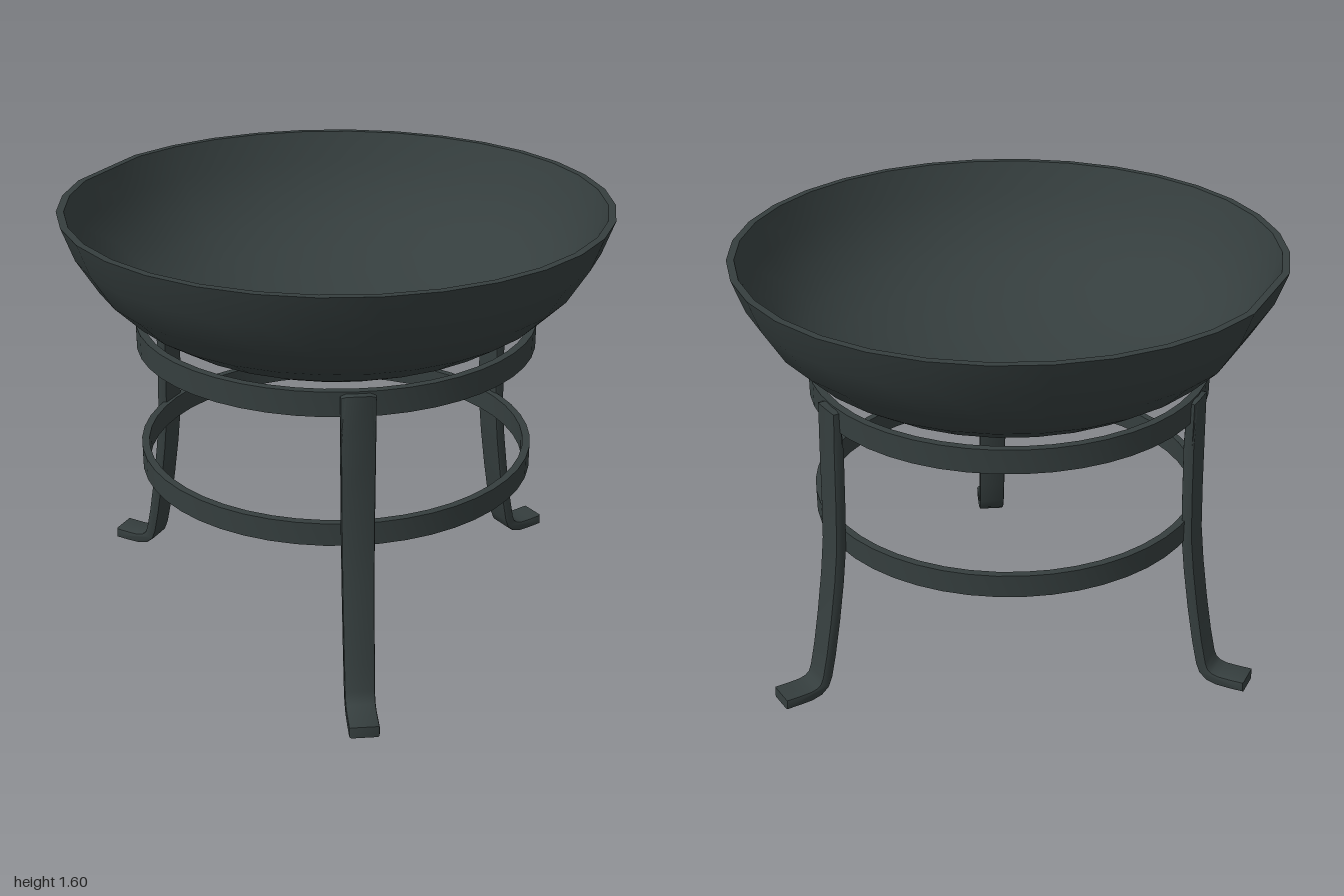
import * as THREE from 'three';
import { toCreasedNormals } from 'three/addons/utils/BufferGeometryUtils.js';

const V = (x, y) => new THREE.Vector2(x, y);

export function createModel() {
  const model = new THREE.Group();
  model.name = 'firePit';
  const iron = new THREE.MeshStandardMaterial({ color: 0x353e3e });
  iron.name = 'darkIron';

  const add = (name, geometry, x = 0) => {
    const mesh = new THREE.Mesh(toCreasedNormals(geometry, 0.7), iron);
    mesh.name = name;
    mesh.position.x = x;
    model.add(mesh);
    return mesh;
  };

  // Bowl: outer wall from the bottom up to the rim, then inner wall back down
  const outer = [[0, 1.03], [0.21, 1.045], [0.4, 1.082], [0.54, 1.13], [0.665, 1.187],
    [0.775, 1.258], [0.873, 1.357], [0.95, 1.484], [0.993, 1.605]];
  const inner = [[0.966, 1.605], [0.924, 1.492], [0.85, 1.372], [0.757, 1.28],
    [0.65, 1.21], [0.53, 1.156], [0.39, 1.108], [0.205, 1.072], [0, 1.058]];
  const bowl = new THREE.LatheGeometry([...outer, ...inner].map(p => V(...p)), 32);
  // One flat facet on the right side of the bowl
  const pos = bowl.attributes.position;
  for (let i = 0; i < pos.count; i++) {
    if (Math.abs(pos.getZ(i)) < 1e-4 && pos.getX(i) < 0) pos.setX(i, pos.getX(i) * 0.981);
  }
  add('bowl', bowl, 0.004);

  // Two flat hoops joining the legs
  const hoop = (name, y0, y1) => {
    const profile = [[0.709, y0], [0.737, y0], [0.737, y1], [0.709, y1], [0.709, y0]];
    add(name, new THREE.LatheGeometry(profile.map(p => V(...p)), 48), 0.002);
  };
  hoop('upperHoop', 1.09, 1.18);
  hoop('lowerHoop', 0.605, 0.69);

  // Leg centre line as radius and height, thickened to both sides
  const path = [[0.738, 1.165], [0.738, 1.0], [0.743, 0.8], [0.75, 0.62], [0.766, 0.48],
    [0.79, 0.32], [0.815, 0.18], [0.836, 0.085], [0.849, 0.053], [0.872, 0.034],
    [0.905, 0.026], [0.95, 0.026], [1.0, 0.028]].map(p => V(...p));
  const bevel = 0.008, half = 0.013, width = 0.118;
  const side = s => path.map((p, i) => {
    const a = path[Math.max(i - 1, 0)], b = path[Math.min(i + 1, path.length - 1)];
    const t = b.clone().sub(a).normalize();
    return V(p.x - t.y * s, p.y + t.x * s);
  });
  const outline = new THREE.Shape([...side(half), ...side(-half).reverse()]);
  const leg = new THREE.ExtrudeGeometry(outline, {
    depth: width - 2 * bevel, bevelSize: bevel, bevelThickness: bevel, bevelSegments: 2, steps: 1
  });
  leg.translate(0, 0, -width / 2 + bevel);
  // Narrow the leg slightly towards the foot and round its top corners
  const lp = leg.attributes.position;
  for (let i = 0; i < lp.count; i++) {
    const y = lp.getY(i);
    const taper = 0.9 + 0.1 * Math.min(1, y);
    lp.setZ(i, lp.getZ(i) * taper * (y > 1.165 ? 0.8 : 1));
  }
  [['rightLeg', 180], ['frontLeftLeg', 59], ['backLeftLeg', -59]].forEach(([name, deg]) => {
    add(name, leg, 0.008).rotation.y = -THREE.MathUtils.degToRad(deg);
  });

  return model;
}
